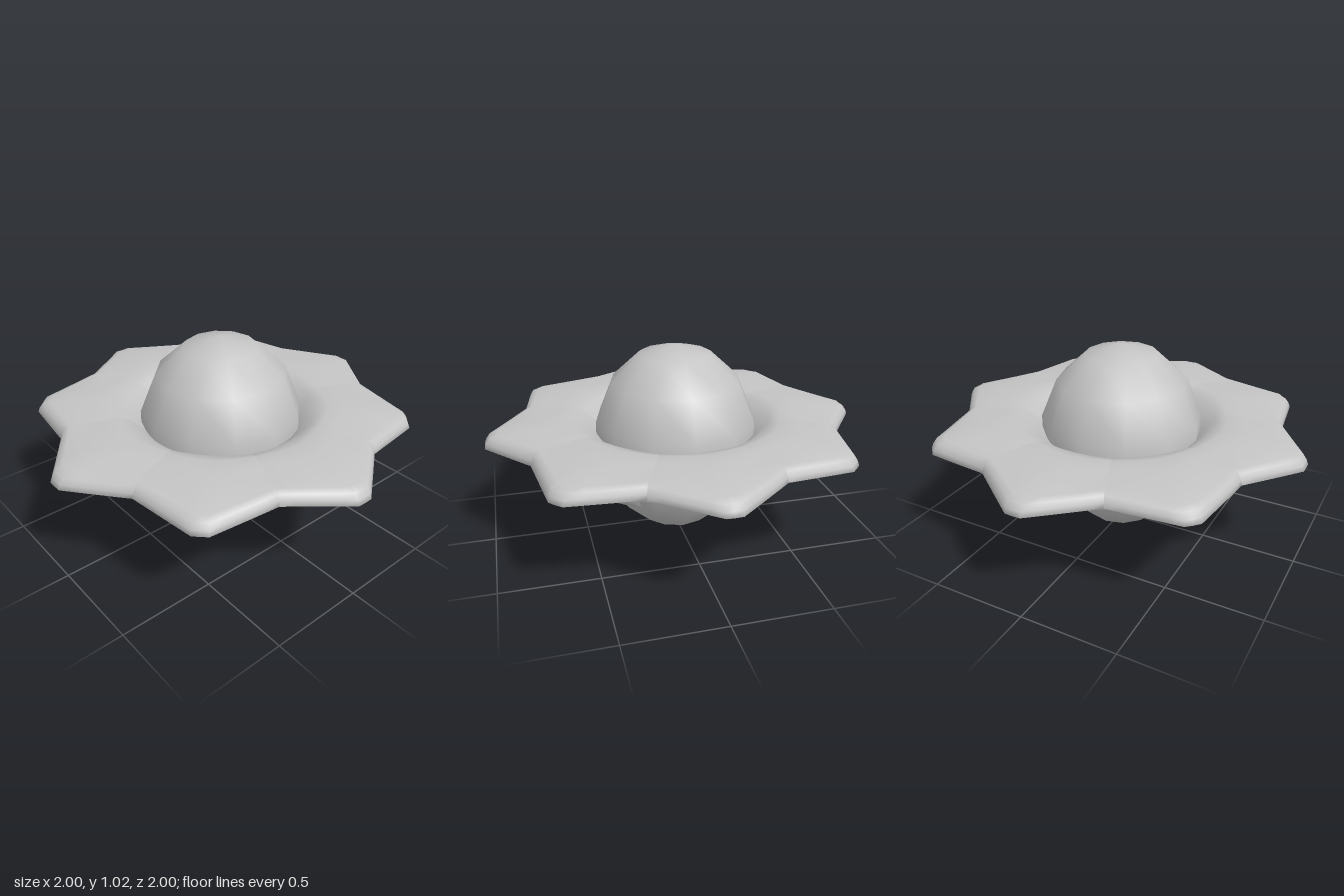
import * as THREE from 'three';

const STEP = Math.PI / 4, HALF = STEP / 2;
const ANGLES = [-22.5, -18, -13, -9, -5.5, -2.3, 0, 2.3, 5.5, 9, 13, 18, 22.5].map(THREE.MathUtils.degToRad);
const mix = THREE.MathUtils.lerp;

// outer outline of one petal: blunt tip and straight sides running to the notch
const outline = a => Math.min(1 / Math.cos(a), 0.2945 / (0.286 * Math.cos(a) + 0.213 * Math.sin(Math.abs(a))));
const stretch = (r, a) => r <= 0.5 ? r : 0.5 + (r - 0.5) * (outline(a) - 0.5) / 0.5;
// radius of the core at a height
const coreRadius = y => 0.44 * Math.sqrt(1 - ((y - 0.52) / 0.51) ** 2);

// smooth surface through a grid of points
function gridSurface(rows, cols, point) {
  const pos = [], index = [];
  for (let i = 0; i < rows; i++) for (let j = 0; j < cols; j++) pos.push(...point(i, j));
  for (let i = 0; i < rows - 1; i++) for (let j = 0; j < cols - 1; j++) {
    const a = i * cols + j, b = a + cols;
    index.push(a, b, a + 1, b, b + 1, a + 1);
  }
  const g = new THREE.BufferGeometry();
  g.setAttribute('position', new THREE.Float32BufferAttribute(pos, 3));
  g.setIndex(index);
  g.computeVertexNormals();
  return g;
}
const polar = (r, y, a) => [r * Math.sin(a), y, r * Math.cos(a)];

// petal top: rises from the core to a crest, then droops to a rounded lip
function petalTop() {
  const profile = [[0.36, 0.49], [0.43, 0.57], [0.5, 0.63], [0.57, 0.647], [0.68, 0.648], [0.82, 0.638],
    [0.93, 0.62], [0.97, 0.607], [0.99, 0.58], [1, 0.555], [0.98, 0.55], [0.95, 0.56]];
  return gridSurface(profile.length, ANGLES.length, (i, j) => {
    const a = ANGLES[j], t = Math.abs(a) / HALF, [r, y] = profile[i];
    const lift = r > 0.9 ? 0.015 * t : -0.006 * t * t;
    return polar(stretch(r, a), y + lift, a);
  });
}

// edge of the lower lobes: a cleft at the petal axis, fullest at the notch
const lobe = t => [mix(0.7, 0.81, Math.sin(t * Math.PI / 2)), mix(0.5, 0.54, t)];

// flat underside between lip and lobe
function petalUnderside() {
  return gridSurface(3, ANGLES.length, (i, j) => {
    const a = ANGLES[j], t = Math.abs(a) / HALF, [r, y] = lobe(t);
    if (i === 0) return polar(stretch(0.95, a), 0.56 + 0.015 * t, a);
    return i === 1 ? polar(r + 0.01, 0.575, a) : polar(r, y, a);
  });
}

// vaulted web arching over the core between two ribs
function petalVault() {
  const rows = 7;
  return gridSurface(rows, ANGLES.length, (i, j) => {
    const a = ANGLES[j], t = Math.abs(a) / HALF, s = i / (rows - 1), [r, y] = lobe(t);
    const yIn = 0.25 + 0.21 * Math.sin(t * Math.PI / 2) ** 1.2;
    const rise = 0.025 * Math.sin(s * Math.PI) * Math.sin(t * Math.PI / 2);
    return polar(mix(r, coreRadius(yIn) - 0.02, s), mix(y, yIn, s) + rise, a);
  });
}

// leaf-shaped keel under each petal axis, pointed at both ends
function ribGeometry() {
  const sections = [[0, 0], [0.15, 0.022], [0.35, 0.048], [0.6, 0.068], [0.8, 0.05], [0.93, 0.022], [1, 0]];
  return gridSurface(sections.length, 7, (i, j) => {
    const [s, w] = sections[i], q = j / 3 - 1;
    const depth = w * 0.45 * (1 - q * q) - 0.6 * w * q * q;
    return [-w * q, mix(0.23, 0.5, s) - depth * 0.8, mix(0.345, 0.7, s) + depth * 0.55];
  });
}

export function createModel() {
  const model = new THREE.Group();
  model.name = 'flower';
  const grey = new THREE.MeshStandardMaterial({ color: 0xc4c4c4, side: THREE.DoubleSide });
  grey.name = 'plain grey';

  // faceted-outline egg at the centre
  const core = new THREE.Mesh(new THREE.SphereGeometry(1, 12, 7), grey);
  core.name = 'core';
  core.scale.set(0.44, 0.51, 0.44);
  core.position.y = 0.515;
  model.add(core);

  // eight petals around the core
  const parts = { petalTop: petalTop(), petalUnderside: petalUnderside(), petalVault: petalVault(), rib: ribGeometry() };
  for (let k = 0; k < 8; k++) {
    const petal = new THREE.Group();
    petal.name = 'petal';
    for (const [name, geometry] of Object.entries(parts)) {
      const mesh = new THREE.Mesh(geometry, grey);
      mesh.name = name;
      petal.add(mesh);
    }
    petal.rotation.y = k * STEP;
    model.add(petal);
  }
  return model;
}
